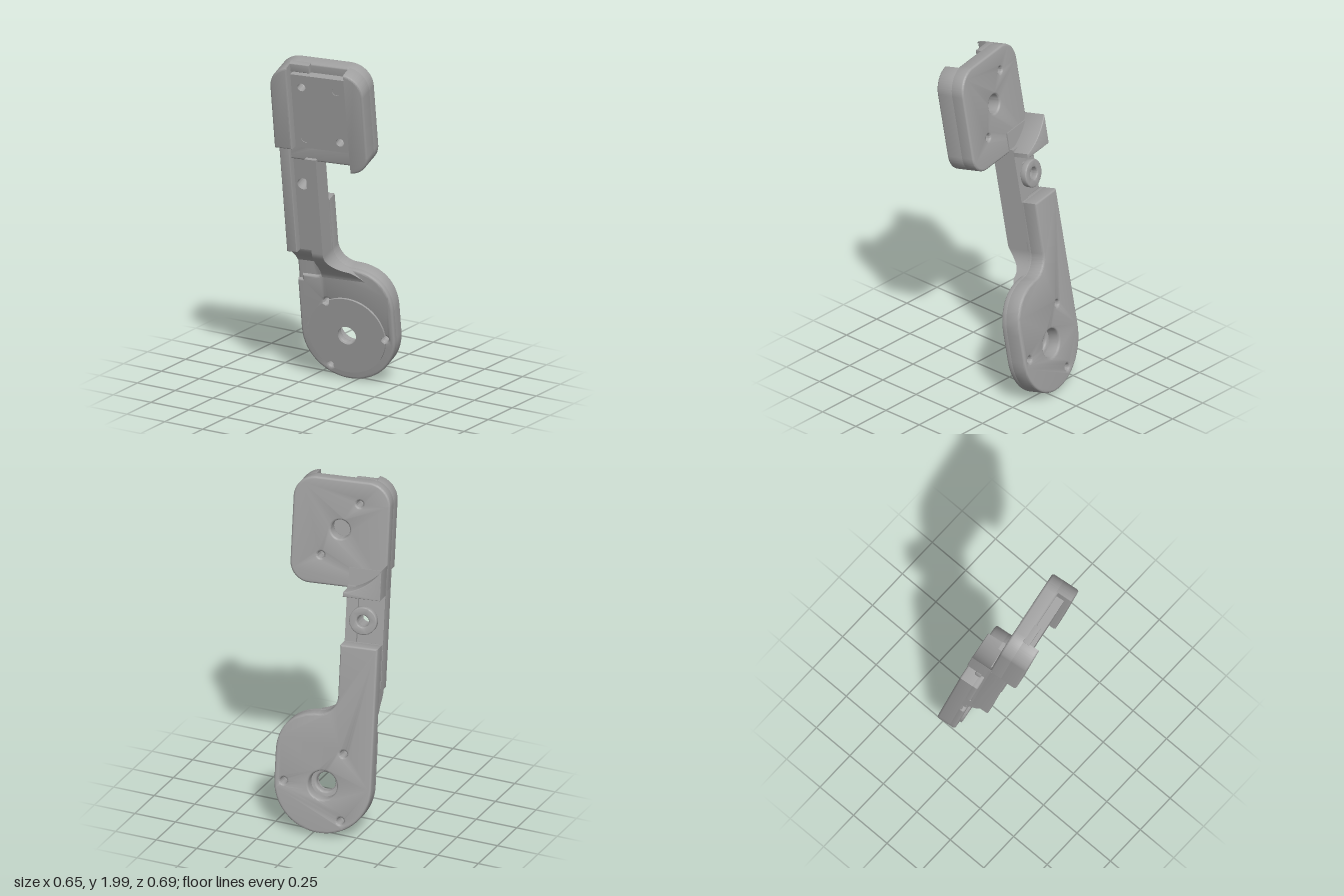
import * as THREE from 'three';
import { toCreasedNormals } from 'three/addons/utils/BufferGeometryUtils.js';

export function createModel() {
  const grey = new THREE.MeshStandardMaterial({ color: 0xa0a0a0 });
  grey.name = 'plain grey';
  const model = new THREE.Group();
  model.name = 'linkArm';

  const add = (name, geometry) => {
    const mesh = new THREE.Mesh(toCreasedNormals(geometry, 0.6), grey);
    mesh.name = name;
    model.add(mesh);
    return mesh;
  };

  // Extrude a shape between two depths, with an optional rounded edge inside those depths
  const slab = (name, shape, back, front, bevel = 0) => {
    const g = new THREE.ExtrudeGeometry(shape, {
      depth: front - back - 2 * bevel, bevelEnabled: bevel > 0, bevelThickness: bevel,
      bevelSize: bevel, bevelOffset: -bevel, bevelSegments: 3, curveSegments: 20,
    });
    g.translate(0, 0, back + bevel);
    return add(name, g);
  };

  const drill = (shape, x, y, r) => {
    shape.holes.push(new THREE.Path().absarc(x, y, r, 0, Math.PI * 2, true));
    return shape;
  };
  const poly = (...pts) => new THREE.Shape(pts.map(([x, y]) => new THREE.Vector2(x, y)));

  const L = -0.28, R = 0.28, ARM = -0.064;
  const lowY = 0.255, highY = 1.71;
  const screwAngles = [0, 1, 2].map((i) => i * Math.PI * 2 / 3);

  // Lower round plate joined to the thick half of the arm
  const lowerOutline = (notched) => {
    const s = new THREE.Shape();
    s.moveTo(L, lowY);
    s.absarc(0, lowY, R, Math.PI, Math.PI * 2, false);
    s.lineTo(R, 0.42);
    s.bezierCurveTo(R, 0.56, 0.2, 0.66, 0.05, 0.666);
    s.absarc(0.05, 0.78, 0.114, -Math.PI / 2, -Math.PI, true);
    s.lineTo(ARM, 1.08);
    s.lineTo(L, 1.08);
    if (notched) { // cable recess beside the arm root
      s.lineTo(L, 0.82);
      s.lineTo(-0.13, 0.82);
      s.lineTo(-0.13, 0.64);
      s.quadraticCurveTo(-0.13, 0.6, -0.17, 0.6);
      s.lineTo(-0.25, 0.6);
      s.lineTo(-0.25, 0.57);
      s.lineTo(L, 0.57);
    }
    s.closePath();
    for (const a of screwAngles) drill(s, 0.225 * Math.cos(a), lowY + 0.225 * Math.sin(a), 0.02);
    return s;
  };
  const b = 0.012;
  slab('lowerPlateBack', drill(lowerOutline(false), 0, lowY, 0.083), -0.325, -0.24 + b, b);
  slab('lowerPlateFront', drill(lowerOutline(true), 0, lowY, 0.055), -0.24 - b, -0.207, b);

  // Raised disc with notches for the screw holes
  const discPts = [];
  for (let i = 0; i < 180; i++) {
    const a = i / 180 * Math.PI * 2;
    const d = Math.min(...screwAngles.map((s) => Math.abs(Math.atan2(Math.sin(a - s), Math.cos(a - s)))));
    const inside = 0.02 ** 2 - (0.225 * Math.sin(d)) ** 2;
    const r = d < 1 && inside > 0 ? 0.225 * Math.cos(d) - Math.sqrt(inside) : 0.23;
    discPts.push([r * Math.cos(a), lowY + r * Math.sin(a)]);
  }
  slab('bearingDisc', drill(poly(...discPts), 0, lowY, 0.055), -0.21, -0.193);

  // Thin channel floor of the arm, with the pivot hole
  const floor = drill(poly([L, 0.8], [ARM, 0.8], [ARM, 1.5], [L, 1.5]), -0.172, 1.215, 0.035);
  slab('armFloor', floor, -0.207, -0.14);
  slab('leftFlange', poly([L, 0.8], [-0.22, 0.8], [-0.22, 1.5], [L, 1.5]), -0.2, -0.09, 0.006);

  // Curved ramp from the channel floor down into the recess
  const ramp = new THREE.Shape();
  ramp.moveTo(-0.25, 0.68);
  ramp.lineTo(-0.25, 0.82);
  ramp.lineTo(-0.14, 0.82);
  ramp.bezierCurveTo(-0.14, 0.75, -0.2, 0.74, -0.229, 0.68);
  const rampGeo = new THREE.ExtrudeGeometry(ramp, { depth: -0.13 - L, bevelEnabled: false, curveSegments: 16 });
  // profile x becomes depth, extrusion becomes width
  rampGeo.rotateY(Math.PI / 2).scale(1, 1, -1).translate(L, 0, 0);
  const idx = rampGeo.index ? null : rampGeo.attributes.position;
  for (let i = 0; i < idx.count; i += 3) { // restore winding after the mirror
    const p = [0, 1, 2].map((k) => new THREE.Vector3().fromBufferAttribute(idx, i + k));
    idx.setXYZ(i + 1, p[2].x, p[2].y, p[2].z);
    idx.setXYZ(i + 2, p[1].x, p[1].y, p[1].z);
  }
  add('channelRamp', rampGeo);

  // Right flange: rectangular sections lofted upward, flaring into the lower plate
  const sections = [];
  for (let i = 0; i <= 25; i++) {
    const v = i < 25 ? 0.6 + i * 0.01 : 1.4;
    const front = THREE.MathUtils.lerp(-0.207, -0.09, THREE.MathUtils.smoothstep(v, 0.59, 0.81));
    let u = ARM;
    if (v < 0.666) u = 0.05 + (0.666 - v) * 1.2;
    else if (v < 0.78) u = 0.05 - Math.sqrt(Math.max(0, 0.114 ** 2 - (0.78 - v) ** 2));
    sections.push([[-0.13, v, -0.23], [u, v, -0.23], [u, v, front], [-0.13, v, front]]);
  }
  const tri = [];
  const quad = (p, q, r, s) => tri.push(...p, ...q, ...r, ...p, ...r, ...s);
  for (let i = 0; i < sections.length - 1; i++) {
    const lo = sections[i], hi = sections[i + 1];
    for (let k = 0; k < 4; k++) {
      const n = (k + 1) % 4;
      quad(lo[k], hi[k], hi[n], lo[n]);
    }
  }
  const top = sections[sections.length - 1];
  quad(top[3], top[2], top[1], top[0]);
  const flange = new THREE.BufferGeometry();
  flange.setAttribute('position', new THREE.Float32BufferAttribute(tri, 3));
  flange.computeVertexNormals();
  add('rightFlange', flange);

  // Stepped pivot boss behind the arm
  const ring = (r) => drill(new THREE.Shape().absarc(-0.172, 1.215, r, 0, Math.PI * 2, false), -0.172, 1.215, 0.035);
  slab('bossCollar', ring(0.065), -0.235, -0.2);
  slab('bossHead', ring(0.08), -0.267, -0.228, 0.006);

  // Stop block with an arc concentric to the upper hole
  const stop = new THREE.Shape();
  stop.moveTo(L, 1.36);
  stop.lineTo(ARM, 1.36);
  stop.absarc(0, highY, 0.33, -1.766, -2.583, true);
  stop.closePath();
  slab('stopBlock', stop, -0.325, -0.19, 0.005);

  // Upper plate
  const c = 0.13;
  const upper = new THREE.Shape();
  upper.moveTo(L, 1.38);
  upper.lineTo(R - 0.115, 1.38);
  upper.absarc(R - 0.115, 1.495, 0.115, -Math.PI / 2, 0, false);
  upper.absarc(R - c, 2 - c, c, 0, Math.PI / 2, false);
  upper.absarc(L + c, 2 - c, c, Math.PI / 2, Math.PI, false);
  upper.closePath();
  const screws = [[-0.105, highY + 0.16], [0.105, highY - 0.16]];
  drill(upper, 0, highY, 0.055);
  for (const [x, y] of screws) drill(upper, x, y, 0.02);
  slab('upperPlate', upper, -0.2, -0.125 + b, b);

  // Side rims of the upper pocket
  const leftRim = new THREE.Shape();
  leftRim.moveTo(L, 1.485);
  leftRim.lineTo(-0.174, 1.485);
  leftRim.lineTo(-0.174, 1.998);
  leftRim.absarc(L + c, 2 - c, c, Math.PI / 2 + 0.19, Math.PI, false);
  leftRim.closePath();
  slab('leftRim', leftRim, -0.125 - b, -0.025, b);

  const rightRim = new THREE.Shape();
  rightRim.moveTo(0.168, 1.38);
  rightRim.absarc(R - 0.115, 1.495, 0.115, -Math.PI / 2 + 0.03, 0, false);
  rightRim.absarc(R - c, 2 - c, c, 0, Math.PI / 2 - 0.14, false);
  rightRim.closePath();
  slab('rightRim', rightRim, -0.125 - b, -0.025, b);

  slab('topLip', poly([-0.18, 1.95], [-0.06, 1.95], [-0.06, 2], [-0.18, 2]), -0.13, -0.086, 0.004);

  // Mounting plate in the pocket: two through holes, two shallow plugs
  const mount = poly([-0.166, 1.49], [0.164, 1.49], [0.164, 1.945], [-0.166, 1.945]);
  for (const [x, y] of screws) {
    drill(mount, x, y, 0.024);
    drill(mount, -x, y, 0.026);
    const plug = new THREE.Shape().absarc(-x, y, 0.026, 0, Math.PI * 2, false);
    slab('screwPlug', plug, -0.11, -0.067);
  }
  slab('mountingPlate', mount, -0.115, -0.063);

  // Whole arm leans forward and turns slightly
  model.rotation.set(THREE.MathUtils.degToRad(10), THREE.MathUtils.degToRad(10), 0, 'YXZ');
  return model;
}
